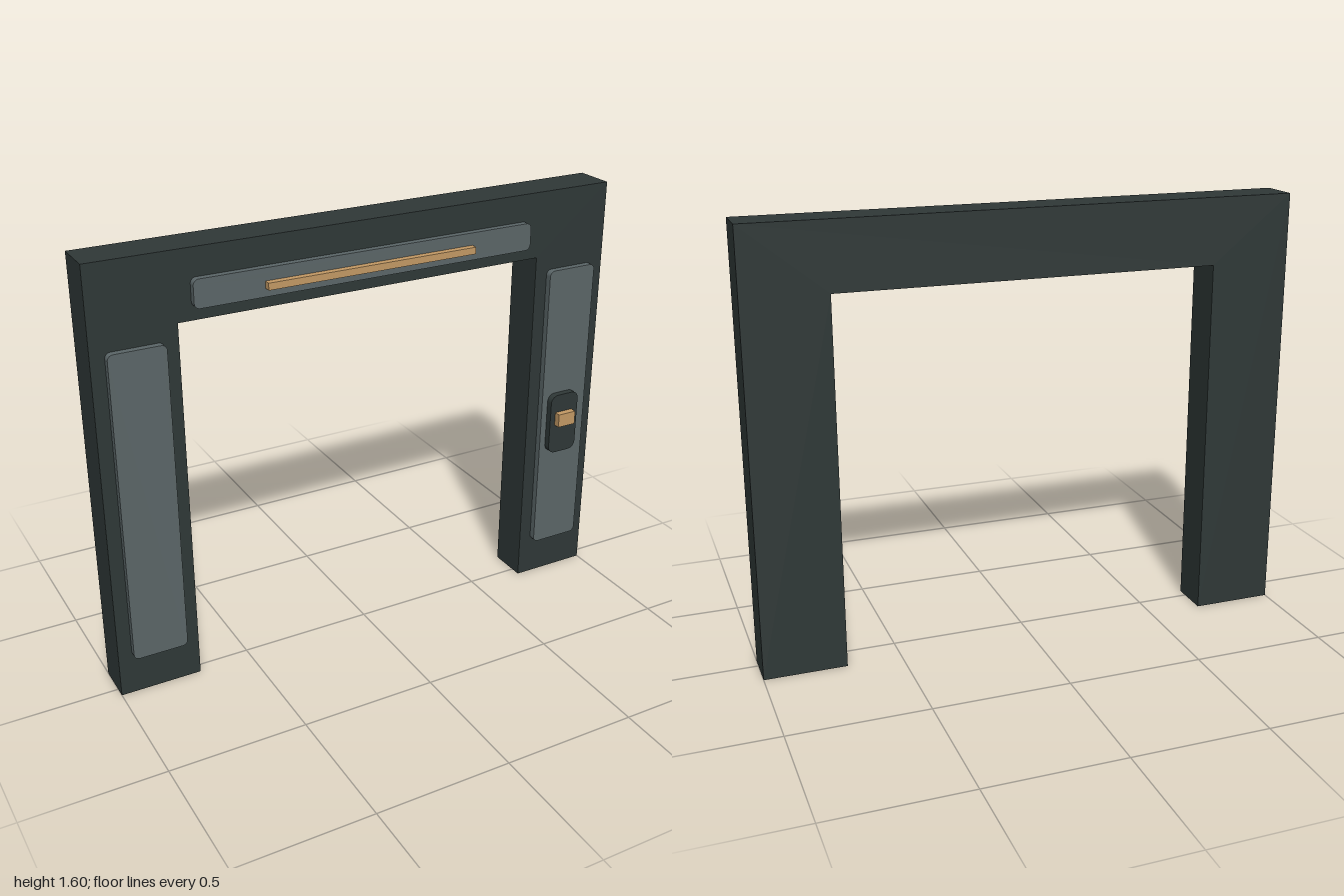
import * as THREE from 'three';

const mat = (name, color) => {
  const m = new THREE.MeshStandardMaterial({ color });
  m.name = name;
  return m;
};

// Rounded rectangle outline between two corners
function roundedRect(x0, y0, x1, y1, r) {
  const s = new THREE.Shape();
  s.absarc(x1 - r, y0 + r, r, -Math.PI / 2, 0);
  s.absarc(x1 - r, y1 - r, r, 0, Math.PI / 2);
  s.absarc(x0 + r, y1 - r, r, Math.PI / 2, Math.PI);
  s.absarc(x0 + r, y0 + r, r, Math.PI, Math.PI * 1.5);
  s.closePath();
  return s;
}

export function createModel() {
  const group = new THREE.Group();
  const charcoal = mat('charcoal', 0x2f3837);
  const slate = mat('slate grey', 0x5b6668);
  const brass = mat('brass', 0xc49a65);

  // Extrude an outline from z0 to z1
  const slab = (name, shape, z0, z1, material) => {
    const geo = new THREE.ExtrudeGeometry(shape, { depth: z1 - z0, bevelEnabled: false, curveSegments: 6 });
    geo.translate(0, 0, z0);
    const mesh = new THREE.Mesh(geo, material);
    mesh.name = name;
    group.add(mesh);
  };
  const box = (name, x0, y0, z0, x1, y1, z1, material) => {
    const mesh = new THREE.Mesh(new THREE.BoxGeometry(x1 - x0, y1 - y0, z1 - z0), material);
    mesh.position.set((x0 + x1) / 2, (y0 + y1) / 2, (z0 + z1) / 2);
    mesh.name = name;
    group.add(mesh);
  };

  // Portal frame: two posts joined by a lintel
  const outline = [[-1, 0], [-0.7, 0], [-0.7, 1.355], [0.7, 1.355], [0.7, 0], [1, 0], [1, 1.6], [-1, 1.6]];
  slab('doorFrame', new THREE.Shape(outline.map(([x, y]) => new THREE.Vector2(x, y))), -0.11, 0.04, charcoal);

  // Raised panels on the posts and lintel
  slab('rightPostPanel', roundedRect(-0.95, 0.15, -0.75, 1.3, 0.02), 0.04, 0.065, slate);
  slab('leftPostPanel', roundedRect(0.75, 0.15, 0.95, 1.3, 0.02), 0.04, 0.065, slate);
  slab('lintelPanel', roundedRect(-0.65, 1.4, 0.65, 1.5, 0.02), 0.04, 0.065, slate);

  // Trim bar on the lintel
  box('lintelBar', -0.4, 1.43, 0.065, 0.4, 1.455, 0.09, brass);

  // Control plate with its button
  slab('controlPlate', roundedRect(0.775, 0.555, 0.9, 0.8, 0.03), 0.065, 0.09, charcoal);
  box('controlButton', 0.797, 0.675, 0.09, 0.873, 0.728, 0.115, brass);

  return group;
}
